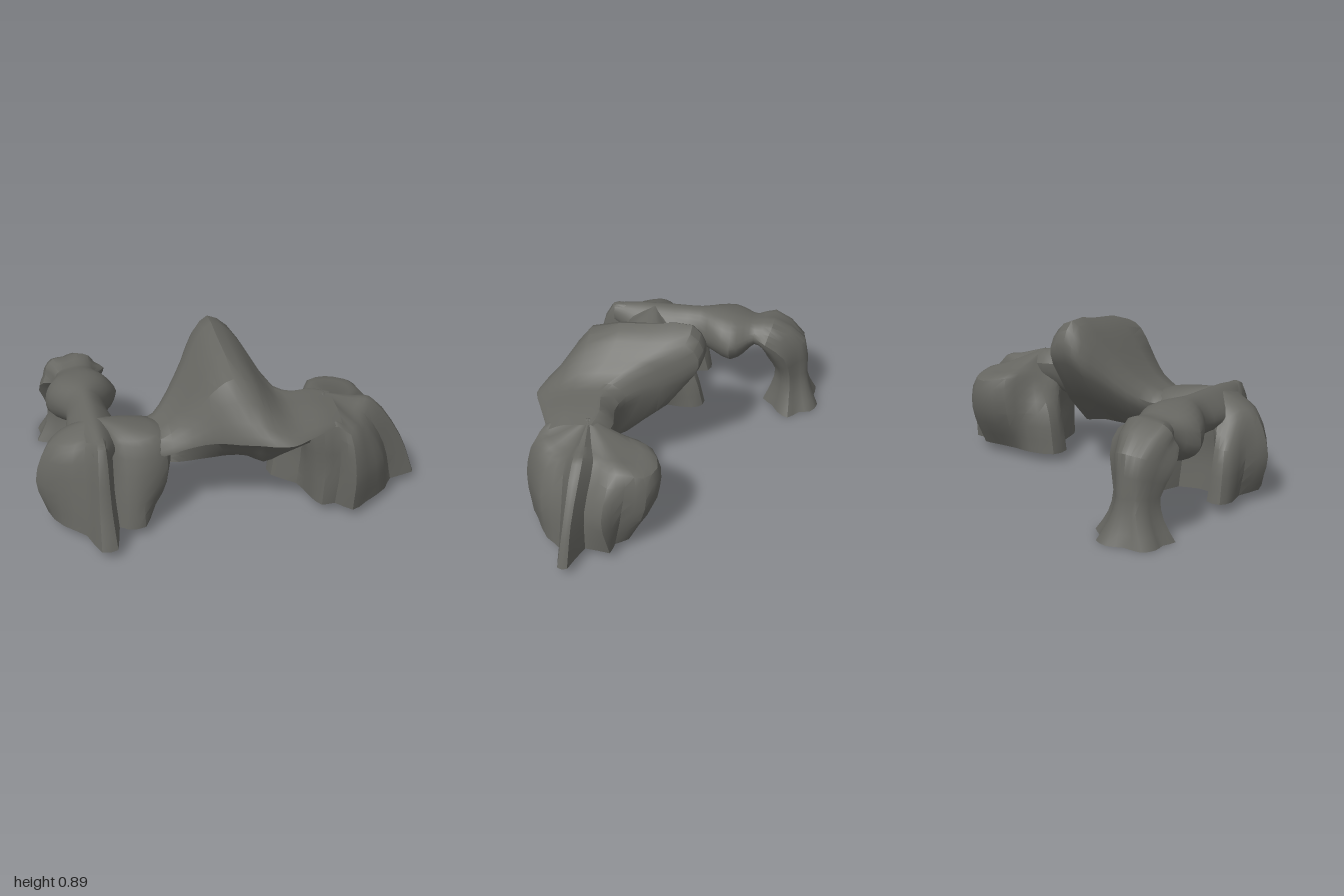
import * as THREE from 'three';
import { toCreasedNormals } from 'three/addons/utils/BufferGeometryUtils.js';

const rock = new THREE.MeshStandardMaterial({ color: 0x666661, side: THREE.DoubleSide });
rock.name = 'grey rock';
const V = (x, y, z) => new THREE.Vector3(x, y, z);

// Smooth skin over closed control rings, subdivided around and along.
function loft(name, rings, around = 2, along = 3) {
  const n = rings[0].length * around;
  const dense = rings.map((r) => {
    const c = new THREE.CatmullRomCurve3(r, true);
    return Array.from({ length: n }, (_, k) => c.getPoint(k / n));
  });
  const m = (rings.length - 1) * along;
  const pos = new Float32Array((m + 1) * n * 3);
  const index = [];
  for (let j = 0; j < n; j++) {
    const c = new THREE.CatmullRomCurve3(dense.map((r) => r[j]));
    for (let i = 0; i <= m; i++) c.getPoint(i / m).toArray(pos, (i * n + j) * 3);
  }
  for (let i = 0; i < m; i++) {
    for (let j = 0; j < n; j++) {
      const a = i * n + j, b = i * n + ((j + 1) % n);
      index.push(a, a + n, b, b, a + n, b + n);
    }
  }
  const geo = new THREE.BufferGeometry();
  geo.setAttribute('position', new THREE.BufferAttribute(pos, 3));
  geo.setIndex(index);
  const mesh = new THREE.Mesh(toCreasedNormals(geo, 0.6), rock);
  mesh.name = name;
  return mesh;
}

// Fluted pillar, open below. Each ray: foot x,z, belly x,z, shoulder x,z,y.
function pillar(name, rays, bellyY, crown, rise) {
  const shoulder = rays.map((r) => V(r[4], r[6], r[5]));
  const top = (t, lift) => shoulder.map((p) => {
    const q = p.clone().lerp(crown, t);
    q.y = p.y + (crown.y - p.y) * lift;
    return q;
  });
  return loft(name, [
    rays.map((r) => V(r[0], 0.055, r[1])),
    rays.map((r) => V(r[2], bellyY, r[3])),
    shoulder,
    top(0.38, rise),
    top(0.99, 1),
  ]);
}

const leftRays = [
  [1.0, 0.35, 0.92, 0.34, 0.75, 0.32, 0.52],
  [1.0, 0.4, 0.92, 0.38, 0.75, 0.37, 0.52],
  [0.86, 0.43, 0.81, 0.42, 0.69, 0.42, 0.48],
  [0.8, 0.51, 0.76, 0.54, 0.66, 0.51, 0.46],
  [0.66, 0.6, 0.65, 0.62, 0.61, 0.57, 0.48],
  [0.57, 0.65, 0.57, 0.67, 0.55, 0.61, 0.49],
  [0.5, 0.57, 0.51, 0.59, 0.49, 0.58, 0.53],
  [0.43, 0.57, 0.44, 0.57, 0.42, 0.57, 0.52],
  [0.39, 0.47, 0.38, 0.48, 0.37, 0.46, 0.47],
  [0.36, 0.35, 0.38, 0.35, 0.36, 0.37, 0.48],
  [0.25, 0.24, 0.29, 0.24, 0.37, 0.27, 0.44],
  [0.26, 0.13, 0.3, 0.14, 0.4, 0.2, 0.44],
  [0.4, 0.09, 0.42, 0.08, 0.45, 0.13, 0.47],
  [0.5, 0.1, 0.49, 0.0, 0.51, 0.02, 0.48],
  [0.64, 0.1, 0.64, -0.03, 0.63, -0.03, 0.46],
  [0.73, 0.1, 0.75, 0.01, 0.72, 0.02, 0.46],
  [0.78, 0.16, 0.79, 0.12, 0.74, 0.11, 0.48],
  [0.85, 0.17, 0.88, 0.2, 0.74, 0.19, 0.48],
  [0.84, 0.3, 0.82, 0.3, 0.69, 0.28, 0.49],
];

const rightRays = [
  [-0.43, 0.3, -0.34, 0.3, -0.33, 0.3, 0.48],
  [-0.44, 0.4, -0.36, 0.44, -0.37, 0.41, 0.48],
  [-0.49, 0.53, -0.49, 0.5, -0.48, 0.43, 0.47],
  [-0.58, 0.53, -0.57, 0.49, -0.57, 0.41, 0.48],
  [-0.62, 0.5, -0.63, 0.46, -0.63, 0.4, 0.5],
  [-0.66, 0.68, -0.67, 0.61, -0.67, 0.51, 0.54],
  [-0.74, 0.68, -0.73, 0.61, -0.71, 0.51, 0.54],
  [-0.79, 0.53, -0.78, 0.49, -0.76, 0.42, 0.5],
  [-0.89, 0.42, -0.9, 0.4, -0.87, 0.37, 0.46],
  [-0.95, 0.28, -1.0, 0.27, -0.93, 0.27, 0.45],
  [-0.91, 0.14, -0.93, 0.16, -0.89, 0.2, 0.46],
  [-0.93, 0.03, -0.92, 0.06, -0.86, 0.14, 0.43],
  [-0.9, -0.04, -0.89, 0.0, -0.83, 0.12, 0.42],
  [-0.82, -0.03, -0.82, 0.02, -0.79, 0.11, 0.44],
  [-0.79, 0.1, -0.78, 0.12, -0.75, 0.11, 0.48],
  [-0.59, 0.08, -0.6, 0.1, -0.61, 0.11, 0.48],
  [-0.55, -0.05, -0.55, 0.0, -0.57, 0.11, 0.44],
  [-0.47, -0.06, -0.47, -0.01, -0.51, 0.12, 0.42],
  [-0.43, 0.0, -0.44, 0.06, -0.46, 0.14, 0.44],
  [-0.43, 0.14, -0.38, 0.15, -0.38, 0.18, 0.47],
];

// Arch stations: x, lip z,y, front top z,y, back z, back top y, back low y, bottom z,y.
const archStations = [
  [-0.42, 0.42, 0.42, 0.38, 0.48, 0.15, 0.5, 0.41, 0.3, 0.33],
  [-0.37, 0.45, 0.41, 0.41, 0.49, 0.13, 0.51, 0.4, 0.3, 0.31],
  [-0.28, 0.48, 0.45, 0.41, 0.55, 0.05, 0.58, 0.45, 0.28, 0.28],
  [-0.18, 0.52, 0.49, 0.44, 0.67, -0.04, 0.71, 0.54, 0.28, 0.28],
  [-0.1, 0.56, 0.51, 0.46, 0.77, -0.13, 0.82, 0.62, 0.28, 0.28],
  [-0.02, 0.61, 0.52, 0.46, 0.81, -0.15, 0.89, 0.67, 0.28, 0.28],
  [0.08, 0.66, 0.53, 0.46, 0.77, -0.13, 0.83, 0.65, 0.28, 0.26],
  [0.15, 0.69, 0.53, 0.47, 0.69, 0.04, 0.74, 0.56, 0.34, 0.25],
  [0.23, 0.7, 0.53, 0.49, 0.62, 0.22, 0.64, 0.49, 0.38, 0.305],
  [0.32, 0.66, 0.53, 0.5, 0.6, 0.26, 0.62, 0.45, 0.4, 0.35],
  [0.42, 0.61, 0.53, 0.5, 0.59, 0.24, 0.61, 0.45, 0.4, 0.38],
  [0.52, 0.56, 0.52, 0.47, 0.57, 0.26, 0.59, 0.45, 0.4, 0.4],
];
const archRing = ([x, lz, ly, fz, fy, bz, by, bl, z, y]) => [
  V(x, ly, lz),
  V(x, ly + (fy - ly) * 0.35, lz + (fz - lz) * 0.25),
  V(x, fy, fz),
  V(x, fy + (by - fy) * 0.8, fz + (bz - fz) * 0.55),
  V(x, by, bz + 0.07),
  V(x, by * 0.55 + bl * 0.45, bz),
  V(x, bl, bz + 0.02),
  V(x, y + 0.01, z - 0.06),
  V(x, y + 0.03, z + 0.09),
  V(x, ly - 0.06, lz - 0.11),
];

// Rear limb stations: z, y, downward tilt in degrees, half thickness, half width, fluting, outer pinch.
const limbStations = [
  [0.5, 0.49, 0, 0.06, 0.04, 0, 0],
  [0.34, 0.48, 0, 0.09, 0.1, 0, 0.4],
  [0.14, 0.475, 0, 0.1, 0.12, 0, 0.4],
  [-0.01, 0.47, 0, 0.11, 0.1, 0, 0.2],
  [-0.1, 0.455, 0, 0.13, 0.15, 0, 0],
  [-0.2, 0.435, 0, 0.145, 0.19, 0.03, 0],
  [-0.27, 0.45, 0, 0.115, 0.15, 0.03, 0],
  [-0.33, 0.475, 0, 0.075, 0.115, 0.03, 0],
  [-0.4, 0.475, 20, 0.095, 0.16, 0.1, 0.1],
  [-0.51, 0.375, 60, 0.12, 0.15, 0.08, 0.35],
  [-0.545, 0.22, 90, 0.09, 0.11, 0.08, 0.3],
  [-0.55, 0.11, 90, 0.11, 0.13, 0.12, 0.1],
  [-0.555, 0.005, 90, 0.15, 0.19, 0.14, 0],
];
const limbRing = ([z, y, deg, t, w, flute, pinch]) => Array.from({ length: 14 }, (_, k) => {
  const a = (k / 14) * Math.PI * 2, d = THREE.MathUtils.degToRad(deg);
  const r = 1 + flute * Math.cos(a * 5 + 0.6);
  const n = Math.sin(a) * t * r;
  const side = Math.cos(a) * w * r * (1 - pinch * Math.sin(a));
  return V(-0.69 - 0.03 * Math.sin(d) + side, y + n * Math.cos(d), z - n * Math.sin(d));
});

export function createModel() {
  const group = new THREE.Group();
  group.name = 'rockArch';
  group.add(
    pillar('leftPillar', leftRays, 0.28, V(0.48, 0.6, 0.35), 0.35),
    pillar('rightPillar', rightRays, 0.25, V(-0.68, 0.57, 0.26), 0.55),
    loft('archSpan', archStations.map(archRing), 2, 2),
    loft('rearLimb', limbStations.map(limbRing), 2, 2),
  );
  return group;
}
